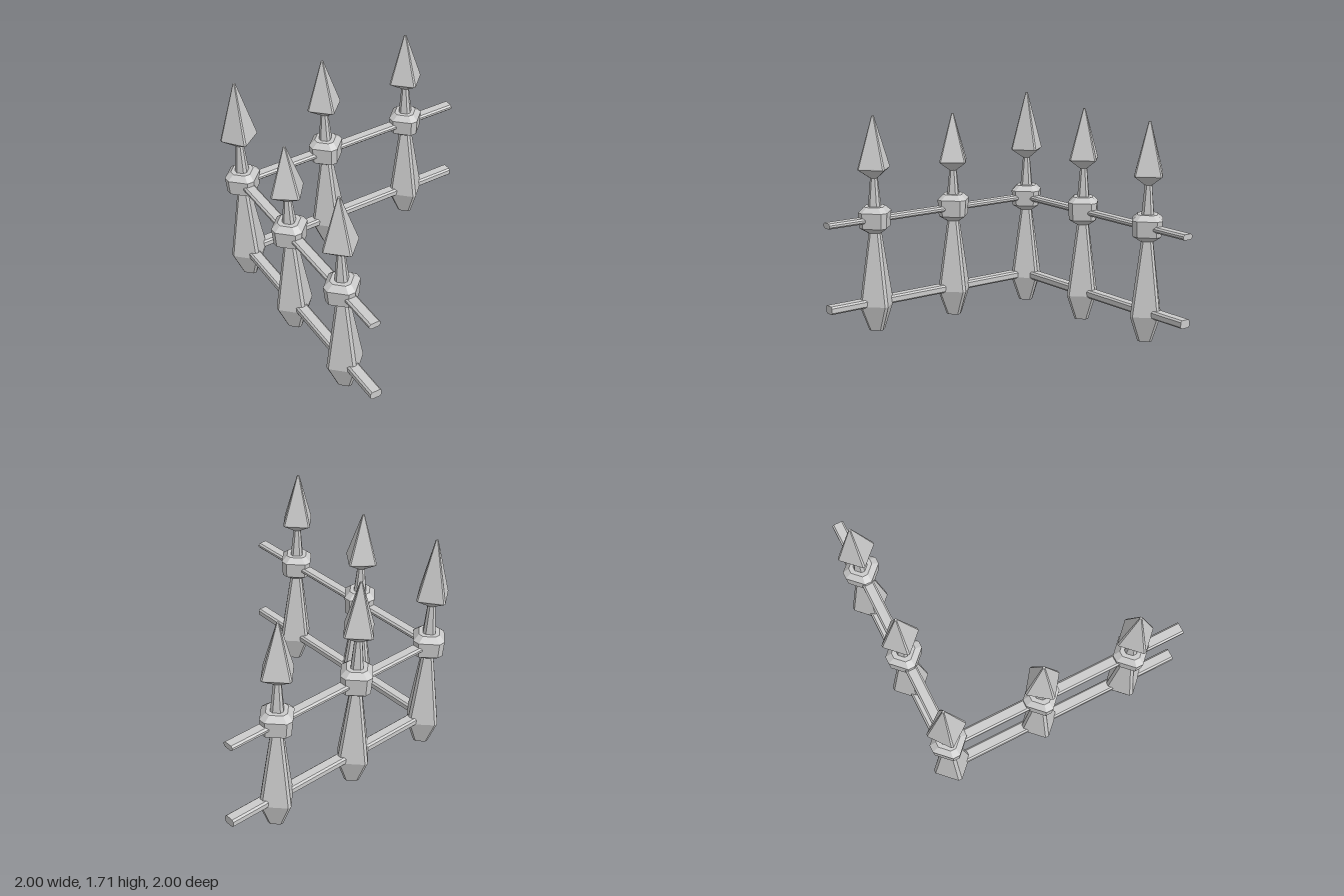
import * as THREE from 'three';

const material = new THREE.MeshStandardMaterial({ color: 0xcccccc, flatShading: true });

// Stacks bevelled diamond cross-sections; each ring is [y, radius, half bevel width]
function diamondLoft(rings) {
  const pos = [], idx = [], n = 8;
  for (const [y, r, b] of rings) {
    for (const [x, z] of [[r, -b], [r, b], [b, r], [-b, r], [-r, b], [-r, -b], [-b, -r], [b, -r]]) pos.push(x, y, z);
  }
  for (let k = 0; k < rings.length - 1; k++) {
    for (let i = 0; i < n; i++) {
      const a = k * n + i, b = k * n + (i + 1) % n;
      idx.push(a, a + n, b + n, a, b + n, b);
    }
  }
  const top = (rings.length - 1) * n;
  for (let i = 1; i < n - 1; i++) {
    idx.push(0, i, i + 1, top, top + i + 1, top + i);
  }
  const geo = new THREE.BufferGeometry();
  geo.setAttribute('position', new THREE.Float32BufferAttribute(pos, 3));
  geo.setIndex(idx);
  const flat = geo.toNonIndexed();
  flat.computeVertexNormals();
  return flat;
}

function add(parent, name, geometry) {
  const mesh = new THREE.Mesh(geometry, material);
  mesh.name = name;
  parent.add(mesh);
  return mesh;
}

// One picket: tapered foot, block at the rail, thin neck and spear head
function makePost({ name, x, z, head, tip, blockTop = 0.96, turn = 0 }) {
  const post = new THREE.Group();
  post.name = name;
  post.position.set(x, 0, z);
  add(post, 'body', diamondLoft([[0, 0.063, 0.012], [0.2, 0.142, 0.014], [0.78, 0.046, 0.012]]));
  add(post, 'block', diamondLoft([
    [0.758, 0.055, 0.015], [0.8, 0.121, 0.024], [blockTop - 0.04, 0.131, 0.026], [blockTop, 0.083, 0.02],
  ]));
  add(post, 'neck', diamondLoft([[0.94, 0.052, 0.014], [head - 0.05, 0.025, 0.01]]));
  const spear = add(post, 'spearHead', diamondLoft([
    [head - 0.075, 0.03, 0.008], [head - 0.004, 0.136, 0.008], [head + 0.004, 0.136, 0.008], [tip, 0.009, 0.003],
  ]));
  spear.rotation.y = turn;
  return post;
}

// Rail with chamfered edges, running from the corner to the open end
function makeRail(y, halfHeight, chamfer) {
  const w = 0.044, h = halfHeight, c = chamfer;
  const shape = new THREE.Shape([
    [w, -h + c], [w, h - c], [w - c, h], [-w + c, h], [-w, h - c], [-w, -h + c], [-w + c, -h], [w - c, -h],
  ].map(([px, py]) => new THREE.Vector2(px, py)));
  const geo = new THREE.ExtrudeGeometry(shape, { depth: 1.855, bevelEnabled: false });
  geo.translate(0, y, 0);
  return geo;
}

export function createModel() {
  const fence = new THREE.Group();
  fence.name = 'cornerFence';

  const c = -0.855;
  const posts = [
    { name: 'cornerPost', x: -0.85, z: c, head: 1.26, tip: 1.71, turn: -0.14 },
    { name: 'backMiddlePost', x: -0.138, z: c, head: 1.27, tip: 1.655, blockTop: 0.975 },
    { name: 'backEndPost', x: 0.585, z: c, head: 1.25, tip: 1.64 },
    { name: 'sideMiddlePost', x: c, z: -0.132, head: 1.232, tip: 1.6, blockTop: 0.97, turn: 0.14 },
    { name: 'sideEndPost', x: c, z: 0.587, head: 1.25, tip: 1.64 },
  ];
  for (const p of posts) fence.add(makePost(p));

  // Two rails along each wing
  for (const [wing, angle] of [['side', 0], ['back', Math.PI / 2]]) {
    for (const [level, y, h, bevel] of [['Upper', 0.861, 0.021, 0.013], ['Lower', 0.22, 0.031, 0.013]]) {
      const rail = add(fence, wing + level + 'Rail', makeRail(y, h, bevel));
      rail.position.set(c, 0, c);
      rail.rotation.y = angle;
    }
  }
  return fence;
}
